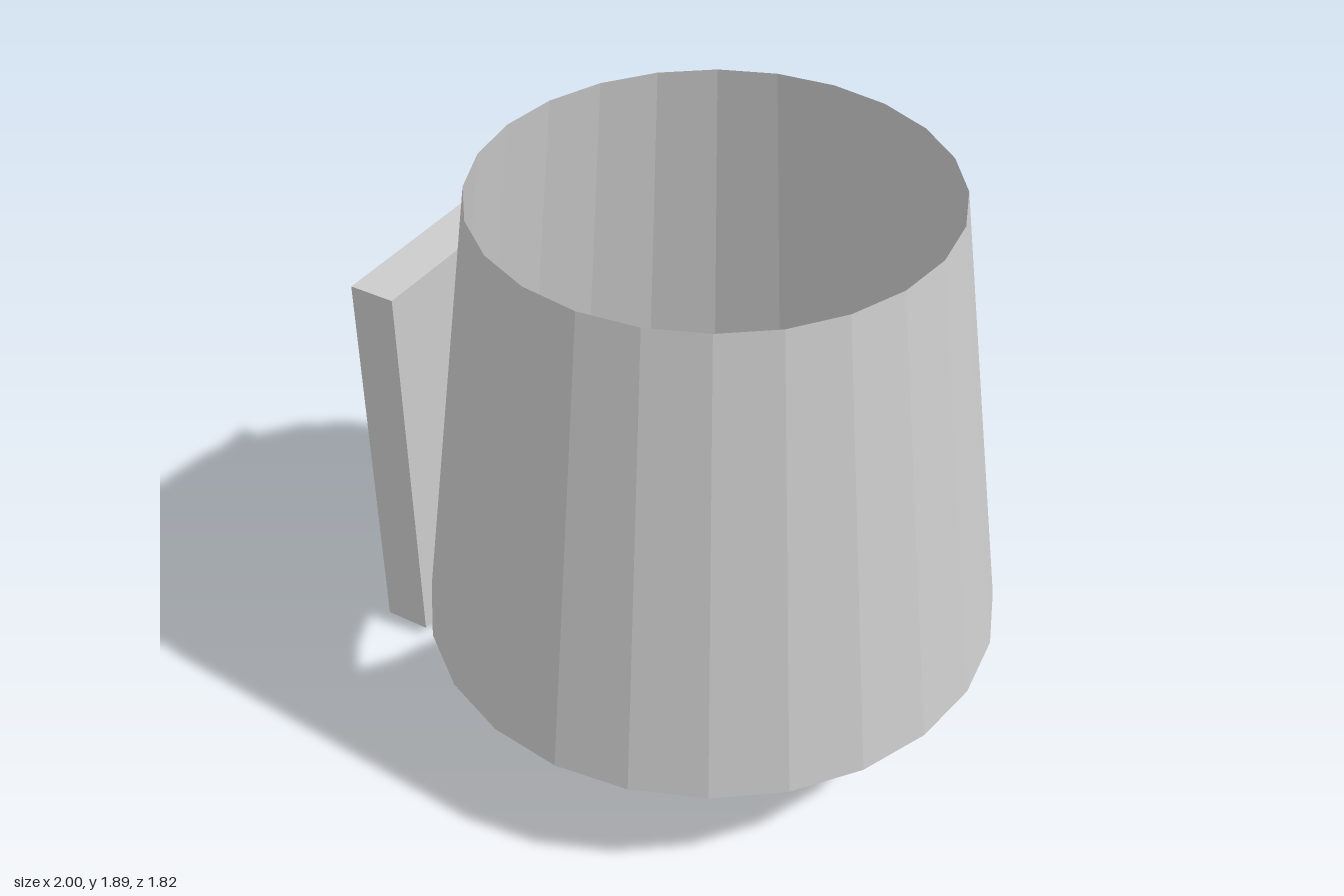
import * as THREE from 'three';

export function createModel() {
  const lamp = new THREE.Group();
  lamp.name = 'wallLamp';

  const solid = new THREE.MeshStandardMaterial({ color: 0xcccccc, flatShading: true });
  const thin = new THREE.MeshStandardMaterial({ color: 0xcccccc, flatShading: true, side: THREE.DoubleSide });

  const axisX = 0.09; // shade, bulb and stem share this vertical axis
  const tubeRadius = 0.076;
  const armY = 0.073;

  function add(name, geometry, x, y, material = solid) {
    const mesh = new THREE.Mesh(geometry, material);
    mesh.name = name;
    mesh.position.set(x, y, 0);
    lamp.add(mesh);
    return mesh;
  }

  // Ten-sided tube centred on the origin, running along y
  const tube = (length) => new THREE.CylinderGeometry(tubeRadius, tubeRadius, length, 10);

  // Wall plate
  add('wallPlate', new THREE.BoxGeometry(0.155, 1.345, 0.67), -0.9225, 0.7075);

  // Horizontal arm, from under the plate to the lamp axis
  const armStart = -0.9;
  const armLength = axisX - armStart - 0.005;
  add('arm', tube(armLength).rotateZ(Math.PI / 2), armStart + armLength / 2, armY);

  // Vertical stem carrying the bulb
  const stemBottom = 0.075, stemTop = 0.56;
  add('stem', tube(stemTop - stemBottom), axisX, (stemBottom + stemTop) / 2);

  // Bulb: stretched sphere with its poles facing front and back
  const bulb = new THREE.SphereGeometry(0.236, 20, 12).rotateX(Math.PI / 2).scale(1, 1.69, 1);
  add('bulb', bulb, axisX, 0.89);

  // Open tapered shade
  add('shade', new THREE.CylinderGeometry(0.71, 0.91, 1.5, 24, 1, true), axisX, 1.14, thin);

  return lamp;
}
